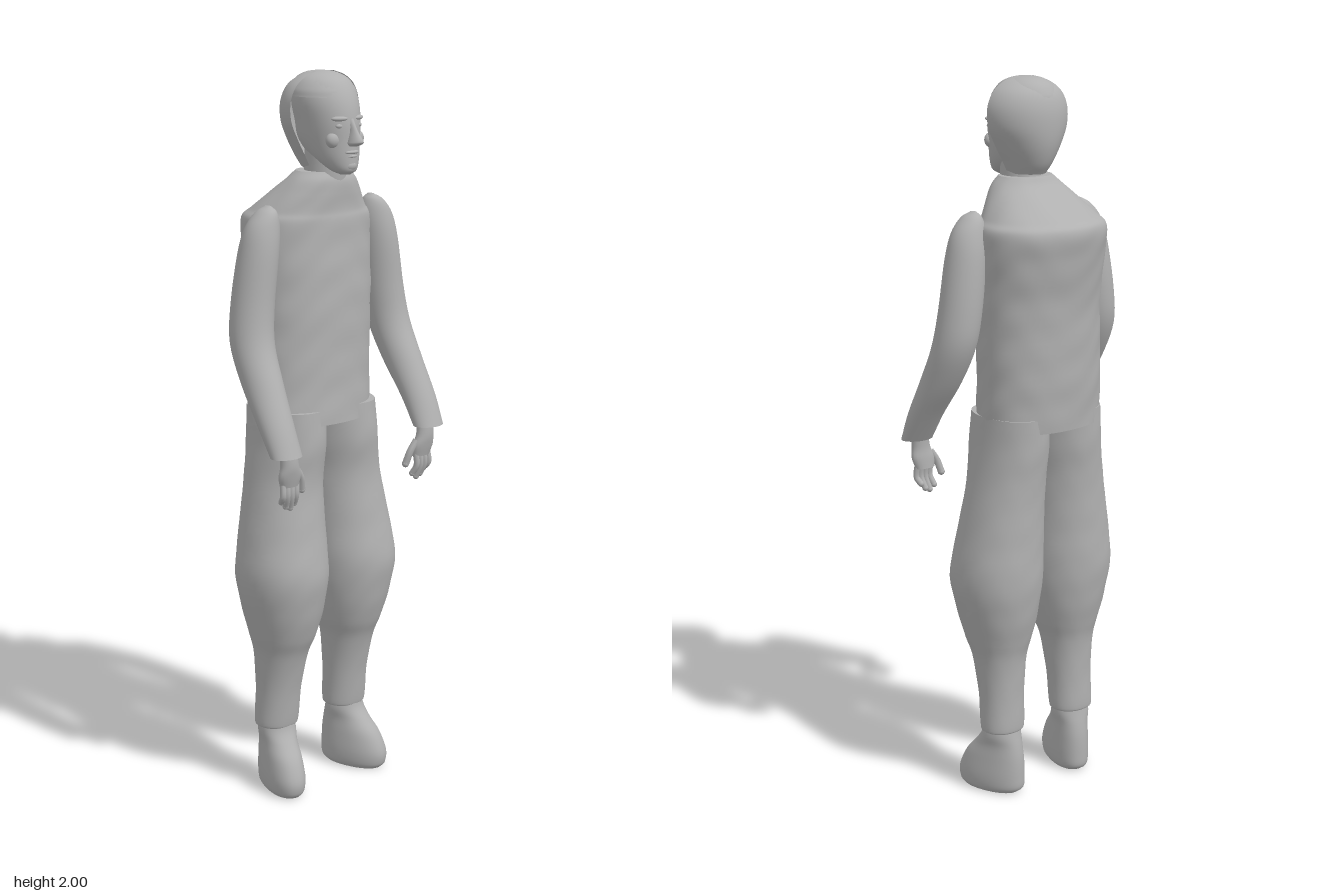
import * as THREE from 'three';

const cloth = new THREE.MeshStandardMaterial({ color: 0xb0b0b0 });
cloth.name = 'plain grey';
const clothOpen = new THREE.MeshStandardMaterial({ color: 0xb0b0b0, side: THREE.DoubleSide });
clothOpen.name = 'plain grey shell';

// Smooth surface through elliptical rings [y, cx, cz, rx, rz], listed bottom to top.
function loft(rings, { side = 1, steps = 40, seg = 36, power = 2, arc = null, ripple = 0 } = {}) {
  const centre = new THREE.CatmullRomCurve3(rings.map(r => new THREE.Vector3(r[1] * side, r[0], r[2])), false, 'catmullrom', 0.5);
  const radius = new THREE.CatmullRomCurve3(rings.map(r => new THREE.Vector3(r[3], 0, r[4])), false, 'catmullrom', 0.5);
  const pos = [], idx = [];
  const [from, span] = arc || [0, Math.PI * 2];
  const n = arc ? seg + 1 : seg;
  const bend = v => Math.sign(v) * Math.abs(v) ** (2 / power);
  for (let i = 0; i <= steps; i++) {
    const c = centre.getPoint(i / steps), r = radius.getPoint(i / steps);
    for (let j = 0; j < n; j++) {
      const a = from + span * j / seg;
      const k = 1 + ripple * Math.sin(c.y * 55 + 2 * Math.sin(3 * a)) * Math.cos(5 * a + c.y * 9);
      pos.push(c.x + r.x * k * bend(Math.cos(a)), c.y, c.z + r.z * k * bend(Math.sin(a)));
    }
  }
  for (let i = 0; i < steps; i++) for (let j = 0; j < seg; j++) {
    const a = i * n + j, b = i * n + (j + 1) % n;
    idx.push(a, a + n, b, b, a + n, b + n);
  }
  // flat caps with their own vertices, so the rims stay sharp
  if (!arc) for (const end of [0, steps]) {
    const start = pos.length / 3, c = centre.getPoint(end / steps);
    for (let j = 0; j < n; j++) pos.push(...pos.slice((end * n + j) * 3, (end * n + j) * 3 + 3));
    pos.push(c.x, c.y, c.z);
    for (let j = 0; j < n; j++) {
      const p = start + j, q = start + (j + 1) % n;
      idx.push(start + n, end ? q : p, end ? p : q);
    }
  }
  const g = new THREE.BufferGeometry();
  g.setAttribute('position', new THREE.Float32BufferAttribute(pos, 3));
  g.setIndex(idx);
  g.computeVertexNormals();
  return g;
}

function add(parent, name, geometry, material = cloth) {
  const m = new THREE.Mesh(geometry, material);
  m.name = name;
  parent.add(m);
  return m;
}

function blob(parent, name, x, y, z, rx, ry, rz) {
  const m = add(parent, name, new THREE.SphereGeometry(1, 18, 12));
  m.position.set(x, y, z);
  m.scale.set(rx, ry, rz);
  return m;
}

function finger(parent, name, points, r) {
  const p = points.map(v => new THREE.Vector3(...v));
  add(parent, name, new THREE.TubeGeometry(new THREE.CatmullRomCurve3(p), 10, r, 8));
  const tip = p[p.length - 1];
  blob(parent, name + 'Tip', tip.x, tip.y, tip.z, r, r, r);
}

function buildHead() {
  const head = new THREE.Group();
  head.name = 'head';
  head.position.x = 0.007;
  add(head, 'skull', loft([
    [1.733, 0, 0.1, 0.015, 0.015], [1.745, 0, 0.09, 0.035, 0.04], [1.775, 0, 0.06, 0.056, 0.072],
    [1.82, 0, 0.036, 0.07, 0.094], [1.87, 0, 0.03, 0.078, 0.098], [1.92, 0, 0.02, 0.084, 0.097],
    [1.96, 0, 0.015, 0.077, 0.082], [1.985, 0, 0.012, 0.057, 0.06], [1.998, 0, 0.01, 0.02, 0.022]]));
  add(head, 'neck', loft([
    [1.64, 0, 0, 0.07, 0.07], [1.71, 0, 0.02, 0.058, 0.062], [1.8, 0, 0.025, 0.055, 0.06]]));
  // nose, lips, chin
  add(head, 'nose', loft([
    [1.809, 0, 0.132, 0.012, 0.01], [1.816, 0, 0.137, 0.018, 0.024], [1.825, 0, 0.137, 0.016, 0.029],
    [1.85, 0, 0.128, 0.009, 0.018], [1.88, 0, 0.116, 0.009, 0.012]], { steps: 16, seg: 16 }));
  blob(head, 'upperLip', 0, 1.793, 0.124, 0.024, 0.006, 0.012);
  blob(head, 'lowerLip', 0, 1.782, 0.122, 0.02, 0.006, 0.012);
  blob(head, 'chin', 0, 1.757, 0.112, 0.025, 0.018, 0.022);
  for (const s of [-1, 1]) {
    blob(head, 'brow', s * 0.032, 1.881, 0.113, 0.024, 0.007, 0.011).rotation.y = s * 0.35;
    blob(head, 'eye', s * 0.031, 1.862, 0.113, 0.014, 0.007, 0.008);
    blob(head, 'cheek', s * 0.04, 1.825, 0.098, 0.024, 0.022, 0.018);
  }
  // hair: a cap over the crown and a half shell behind
  add(head, 'hairCrown', loft([
    [1.935, 0, 0.01, 0.089, 0.099], [1.955, 0, 0.008, 0.084, 0.092], [1.98, 0, 0.006, 0.066, 0.072],
    [1.995, 0, 0.004, 0.038, 0.042], [2, 0, 0.003, 0.004, 0.004]], { steps: 24 }));
  add(head, 'hairBack', loft([
    [1.745, 0, 0.02, 0.052, 0.075], [1.775, 0, 0.02, 0.068, 0.096], [1.82, 0, 0.02, 0.094, 0.112],
    [1.87, 0, 0.02, 0.118, 0.118], [1.92, 0, 0.02, 0.121, 0.115], [1.96, 0, 0.02, 0.103, 0.1],
    [1.985, 0, 0.02, 0.07, 0.07], [1.998, 0, 0.02, 0.03, 0.03]],
  { arc: [Math.PI, Math.PI] }), clothOpen);
  return head;
}

function buildArm(s) {
  const arm = new THREE.Group();
  arm.name = s > 0 ? 'leftArm' : 'rightArm';
  add(arm, 'sleeve', loft([
    [1.02, 0.262, 0.168, 0.047, 0.035], [1.1, 0.262, 0.125, 0.05, 0.047], [1.2, 0.256, 0.065, 0.054, 0.06],
    [1.3, 0.249, 0.018, 0.058, 0.062], [1.4, 0.236, 0.005, 0.058, 0.06], [1.53, 0.217, 0.006, 0.055, 0.056],
    [1.6, 0.204, 0.008, 0.048, 0.046], [1.64, 0.192, 0.01, 0.028, 0.032], [1.657, 0.185, 0.01, 0.006, 0.01]],
  { side: s }));
  // hand with four hanging fingers and a thumb
  add(arm, 'palm', loft([
    [0.935, 0.243, 0.158, 0.03, 0.016], [0.965, 0.246, 0.163, 0.036, 0.019],
    [0.995, 0.25, 0.167, 0.028, 0.02], [1.04, 0.254, 0.165, 0.026, 0.02]], { side: s, steps: 14, seg: 18 }));
  for (let i = 0; i < 4; i++) {
    const x = 0.221 + i * 0.015, low = [0.875, 0.864, 0.87, 0.885][i];
    finger(arm, 'finger', [[s * x, 0.95, 0.16], [s * (x + 0.003), 0.91, 0.163], [s * (x - 0.002), low + 0.008, 0.15]], 0.0085);
  }
  finger(arm, 'thumb', [[s * 0.222, 0.98, 0.163], [s * 0.203, 0.95, 0.158], [s * 0.193, 0.915, 0.15]], 0.01);
  return arm;
}

function buildLeg(s) {
  const leg = new THREE.Group();
  leg.name = s > 0 ? 'leftLeg' : 'rightLeg';
  leg.position.x = -0.009;
  add(leg, 'trouserLeg', loft([
    [0.185, 0.128, -0.022, 0.058, 0.052], [0.2, 0.128, -0.022, 0.063, 0.056], [0.3, 0.126, -0.015, 0.063, 0.063],
    [0.4, 0.125, -0.006, 0.072, 0.078], [0.46, 0.124, 0, 0.088, 0.098], [0.54, 0.125, 0.002, 0.108, 0.118],
    [0.64, 0.127, 0.003, 0.123, 0.131], [0.76, 0.119, -0.005, 0.114, 0.122], [0.9, 0.106, -0.014, 0.1, 0.115],
    [1.0, 0.096, -0.014, 0.094, 0.124], [1.1, 0.092, -0.018, 0.09, 0.122]],
  { side: s, steps: 56, power: 2.15, ripple: 0.006 }));
  // shoe, toes turned out
  const shoe = add(leg, 'shoe', loft([
    [0, 0, 0.022, 0.043, 0.085], [0.015, 0, 0.02, 0.052, 0.1], [0.05, 0, 0.02, 0.055, 0.102],
    [0.1, 0, 0.01, 0.052, 0.09], [0.14, 0, -0.004, 0.049, 0.07], [0.175, 0, -0.012, 0.052, 0.054],
    [0.22, 0, -0.012, 0.045, 0.045]], { steps: 28, power: 2.2 }));
  shoe.position.set(s * 0.133, 0, -0.008);
  shoe.rotation.y = s * 0.3;
  return leg;
}

export function createModel() {
  const model = new THREE.Group();
  model.name = 'standingFigure';
  // jacket with a wide back and sloping collar
  add(model, 'jacket', loft([
    [1.06, -0.013, -0.022, 0.185, 0.133], [1.2, -0.008, -0.03, 0.183, 0.134], [1.4, 0, -0.036, 0.183, 0.136],
    [1.53, 0.003, -0.05, 0.187, 0.142], [1.605, 0.005, -0.056, 0.187, 0.143], [1.635, 0.005, -0.045, 0.165, 0.128],
    [1.68, 0.005, -0.016, 0.13, 0.1], [1.715, 0.005, 0.006, 0.1, 0.076], [1.738, 0.006, 0.01, 0.075, 0.062]],
  { steps: 72, seg: 56, power: 2.2, ripple: 0.009 }));
  model.add(buildHead());
  for (const s of [-1, 1]) model.add(buildArm(s), buildLeg(s));
  return model;
}
